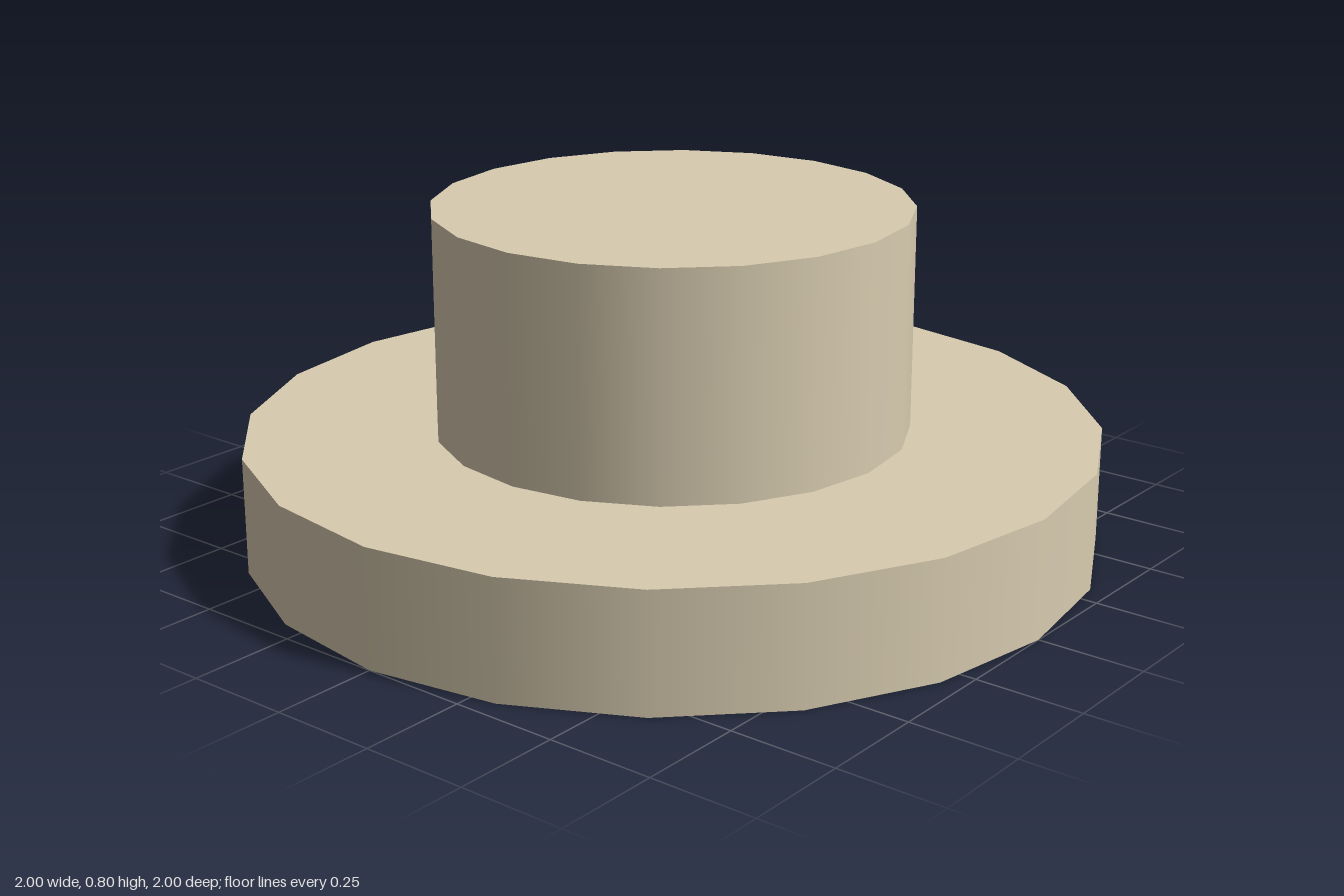
import * as THREE from 'three';

export function createModel() {
  const group = new THREE.Group();
  const material = new THREE.MeshStandardMaterial({ color: 0xd8ccb0 });

  // Twenty-sided disc with smooth walls and sharp rims
  const addDisc = (name, radius, bottom, top) => {
    const geometry = new THREE.CylinderGeometry(radius, radius, top - bottom, 20);
    const mesh = new THREE.Mesh(geometry, material);
    mesh.name = name;
    mesh.position.y = (bottom + top) / 2;
    group.add(mesh);
  };

  addDisc('baseFlange', 1, 0, 0.275);
  addDisc('raisedHub', 0.555, 0.275, 0.8);

  return group;
}
